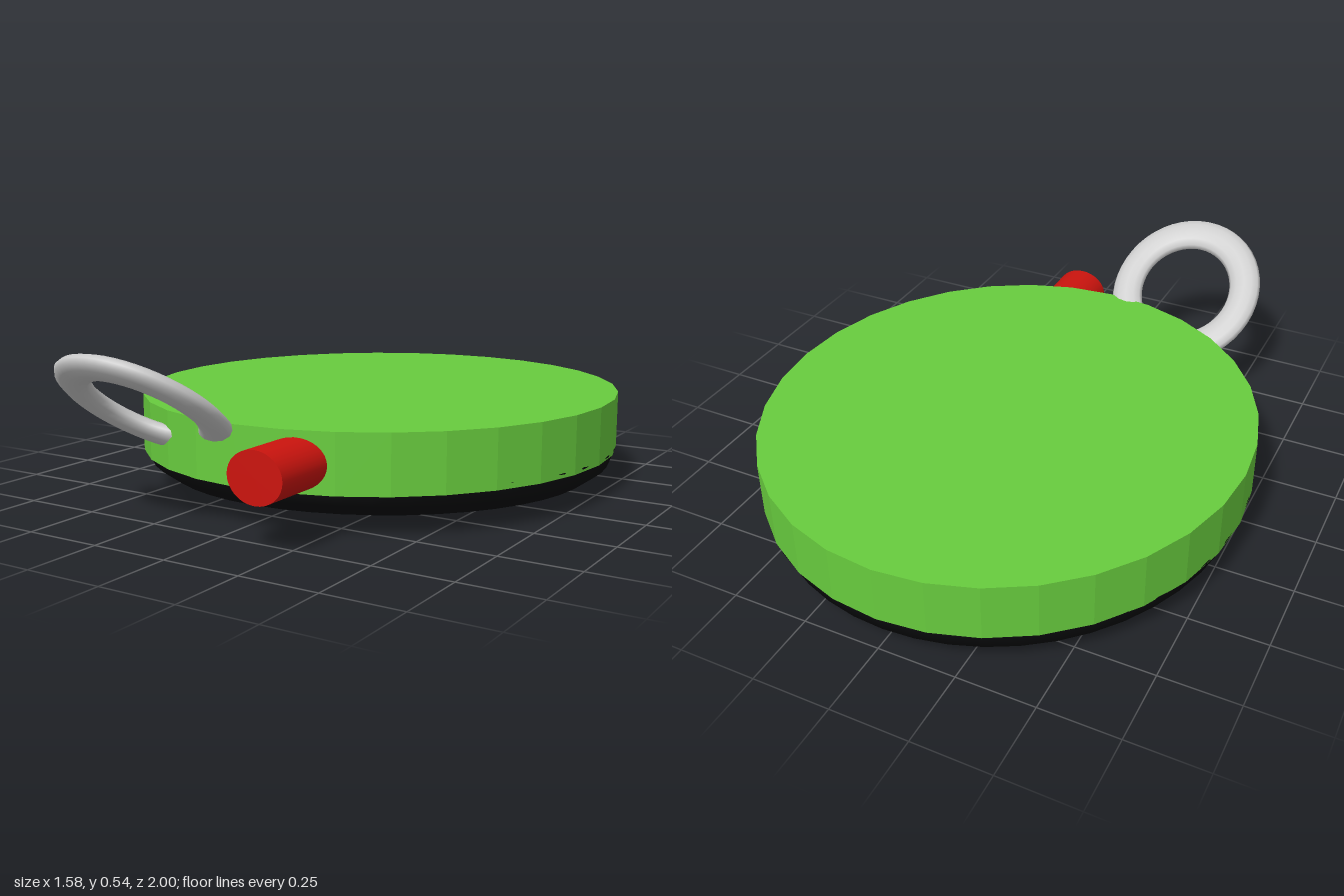
import * as THREE from 'three';

const mat = (color, flatShading = false) => new THREE.MeshStandardMaterial({ color, flatShading });

export function createModel() {
  const model = new THREE.Group();
  const green = mat(0x68cc3e, true);
  const black = mat(0x08090b);
  const red = mat(0xcc140e);
  const redFlat = mat(0xcc140e, true);
  const grey = mat(0xcccccc);
  const bodyZ = -0.16;

  const add = (name, geometry, material, x, y, z, rotX = 0) => {
    const mesh = new THREE.Mesh(geometry, material);
    mesh.name = name;
    mesh.position.set(x, y, z);
    mesh.rotation.x = rotX;
    model.add(mesh);
    return mesh;
  };

  // Slightly oval, slightly tilted case
  const body = add('case', new THREE.CylinderGeometry(1, 1, 0.185, 32), green, 0, 0.213, bodyZ, -0.011);
  body.scale.set(0.79, 1, 0.84);

  // Flattened rim around the dial, half sunk into the underside
  const rimGeometry = new THREE.TorusGeometry(0.632, 0.156, 12, 48).rotateX(Math.PI / 2);
  const rim = add('rim', rimGeometry, black, 0, 0.129, bodyZ, -0.03);
  rim.scale.set(1, 0.71, 1.06);

  // Hands crossing on the dial underneath
  add('longHand', new THREE.BoxGeometry(0.62, 0.08, 0.08), redFlat, 0.115, 0.09, bodyZ - 0.08);
  add('shortHand', new THREE.BoxGeometry(0.08, 0.08, 0.65), redFlat, -0.065, 0.09, bodyZ + 0.125);

  // Oval push button on the front edge
  const button = add('button', new THREE.CylinderGeometry(0.093, 0.093, 0.34, 32), red, 0.188, 0.215, 0.67, Math.PI / 2);
  button.scale.z = 0.84;

  // Flattened hanging ring leaning forward out of the case
  const ring = add('ring', new THREE.TorusGeometry(0.216, 0.055, 12, 48), grey, -0.26, 0.355, 0.76, 0.94);
  ring.scale.set(1, 1.08, 0.55);

  return model;
}
